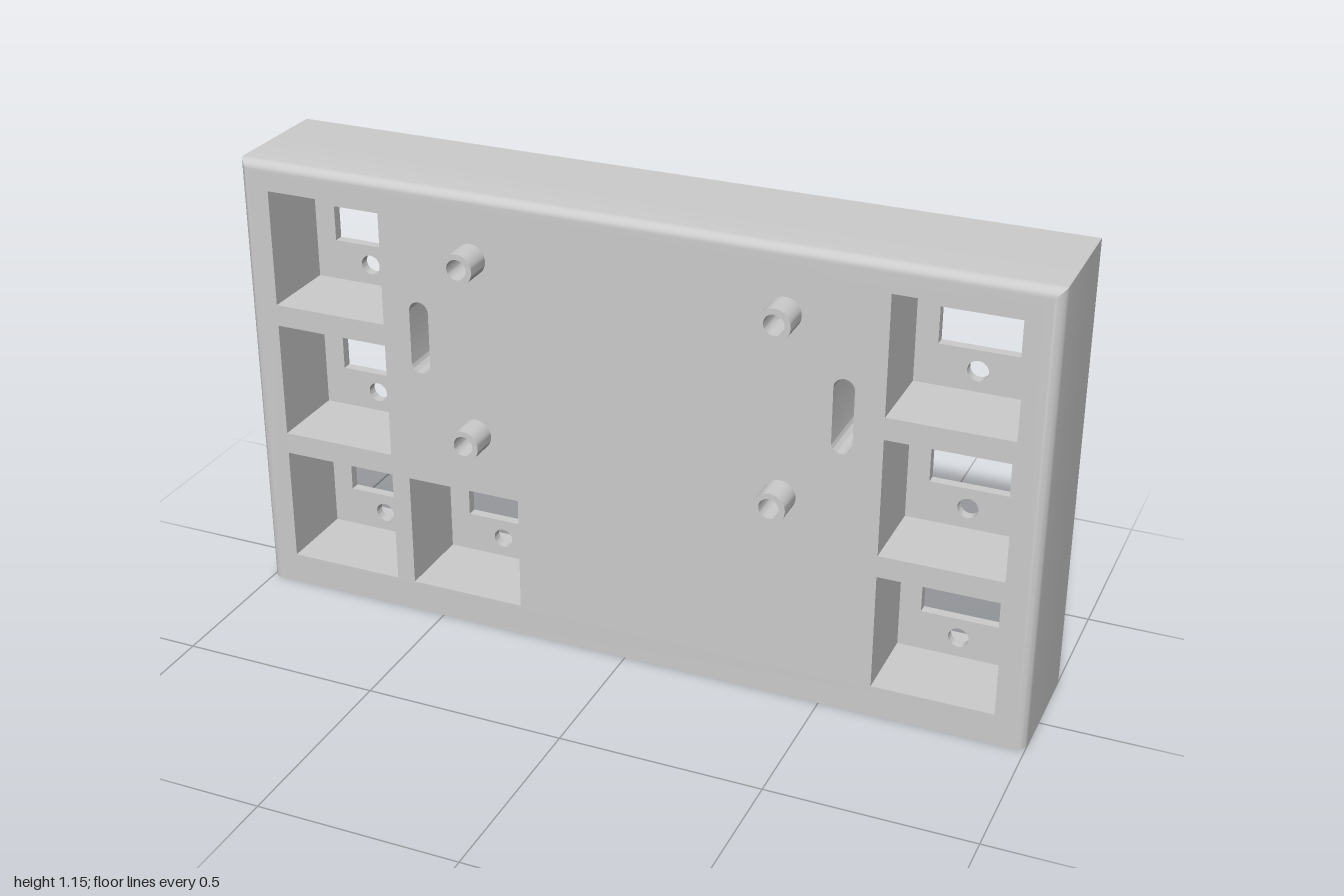
import * as THREE from 'three';
import { toCreasedNormals } from 'three/addons/utils/BufferGeometryUtils.js';

const H = 1.146;                                      // height of the body
const BACK = -0.19, RECESS = -0.105, FLOOR = -0.08, FRONT = 0.125, POST_END = 0.195;
const FILLET = 0.025, STEPS = 6;
const ROWS = [0.2275, 0.5775, 0.9275];                // pocket centres in y
const POCKETS = [-0.775, 0.775].flatMap((x) => ROWS.map((y) => [x, y]));
POCKETS.push([-0.43, ROWS[0]]);
const POSTS = [-0.387, 0.387].flatMap((x) => [0.535, 0.988].map((y) => [x, y]));
const SLOT = { x: 0.53, y0: 0.695, y1: 0.83, r: 0.025 };

const material = new THREE.MeshStandardMaterial({ color: 0xcccccc });

function rect(Type, x0, y0, x1, y1) {
  return new Type([[x0, y0], [x1, y0], [x1, y1], [x0, y1]].map((p) => new THREE.Vector2(...p)));
}
const rectHole = (x, y, w, h) => rect(THREE.Path, x - w / 2, y - h / 2, x + w / 2, y + h / 2);
const roundHole = (x, y, r) => new THREE.Path().absarc(x, y, r, 0, Math.PI * 2, false);
const postHoles = () => POSTS.map(([x, y]) => roundHole(x, y, 0.025));
const slotHoles = () => [-1, 1].map((s) => new THREE.Path()
  .absarc(s * SLOT.x, SLOT.y1, SLOT.r, 0, Math.PI, false)
  .absarc(s * SLOT.x, SLOT.y0, SLOT.r, Math.PI, Math.PI * 2, false));

function extrude(shape, z0, z1, steps = 1) {
  const g = new THREE.ExtrudeGeometry(shape, {
    depth: z1 - z0, steps, bevelEnabled: false, curveSegments: 16,
  });
  return g.translate(0, 0, z0);
}

function addPart(group, name, geometry) {
  const mesh = new THREE.Mesh(toCreasedNormals(geometry, 0.5), material);
  mesh.name = name;
  group.add(mesh);
  return mesh;
}

// Back rim with raised centre block, side recesses, slot notches and bottom cable gap
function backFrame() {
  const half = new THREE.Path();
  half.moveTo(-1, H);
  for (const p of [[-1, 0], [-0.2, 0], [-0.2, 0.077], [-0.925, 0.077], [-0.925, 1.07], [-0.63, 1.07], [-0.63, SLOT.y1]]) {
    half.lineTo(...p);
  }
  half.absarc(-SLOT.x, SLOT.y1, SLOT.r, Math.PI, 0, true);
  half.absarc(-SLOT.x, SLOT.y0, SLOT.r, 0, -Math.PI, true);
  half.lineTo(-0.63, SLOT.y0);
  half.lineTo(-0.63, 0.377);
  const left = half.getPoints(16);
  const right = left.map((p) => new THREE.Vector2(-p.x, p.y)).reverse();
  const shape = new THREE.Shape([...left, ...right]);
  shape.holes.push(...postHoles());
  return extrude(shape, BACK, RECESS);
}

// Thin plate behind the pockets, with a window and two screw holes for each
function mountingPlate() {
  const shape = rect(THREE.Shape, -1, 0, 1, H);
  shape.holes.push(...postHoles(), ...slotHoles());
  for (const [x, y] of POCKETS) {
    shape.holes.push(rectHole(x, y, 0.19, 0.09),
      roundHole(x, y - 0.096, 0.025), roundHole(x, y + 0.096, 0.025));
  }
  return extrude(shape, RECESS, FLOOR);
}

// Thick front with square pockets; its top and side front edges are rounded
function frontBody() {
  const shape = rect(THREE.Shape, -1, 0, 1, H);
  shape.holes.push(...postHoles(), ...slotHoles());
  for (const [x, y] of POCKETS) shape.holes.push(rectHole(x, y, 0.297, 0.295));
  const g = extrude(shape, 0, STEPS + 1, STEPS + 1);
  const pos = g.attributes.position;
  for (let i = 0; i < pos.count; i++) {
    const k = Math.round(pos.getZ(i));
    const a = Math.max(0, k - 1) / STEPS * Math.PI / 2;
    const inset = FILLET * (1 - Math.cos(a));
    const limit = 1 - inset;
    pos.setXYZ(i,
      THREE.MathUtils.clamp(pos.getX(i), -limit, limit),
      Math.min(pos.getY(i), H - inset),
      k === 0 ? FLOOR : FRONT - FILLET + FILLET * Math.sin(a));
  }
  return g;
}

// Hollow standoff
function post() {
  const shape = new THREE.Shape().absarc(0, 0, 0.039, 0, Math.PI * 2, false);
  shape.holes.push(roundHole(0, 0, 0.025));
  return extrude(shape, FRONT, POST_END);
}

export function createModel() {
  const group = new THREE.Group();
  group.name = 'mountingPanel';
  addPart(group, 'backFrame', backFrame());
  addPart(group, 'mountingPlate', mountingPlate());
  addPart(group, 'frontBody', frontBody());
  for (const [x, y] of POSTS) addPart(group, 'standoffPost', post()).position.set(x, y, 0);
  return group;
}
